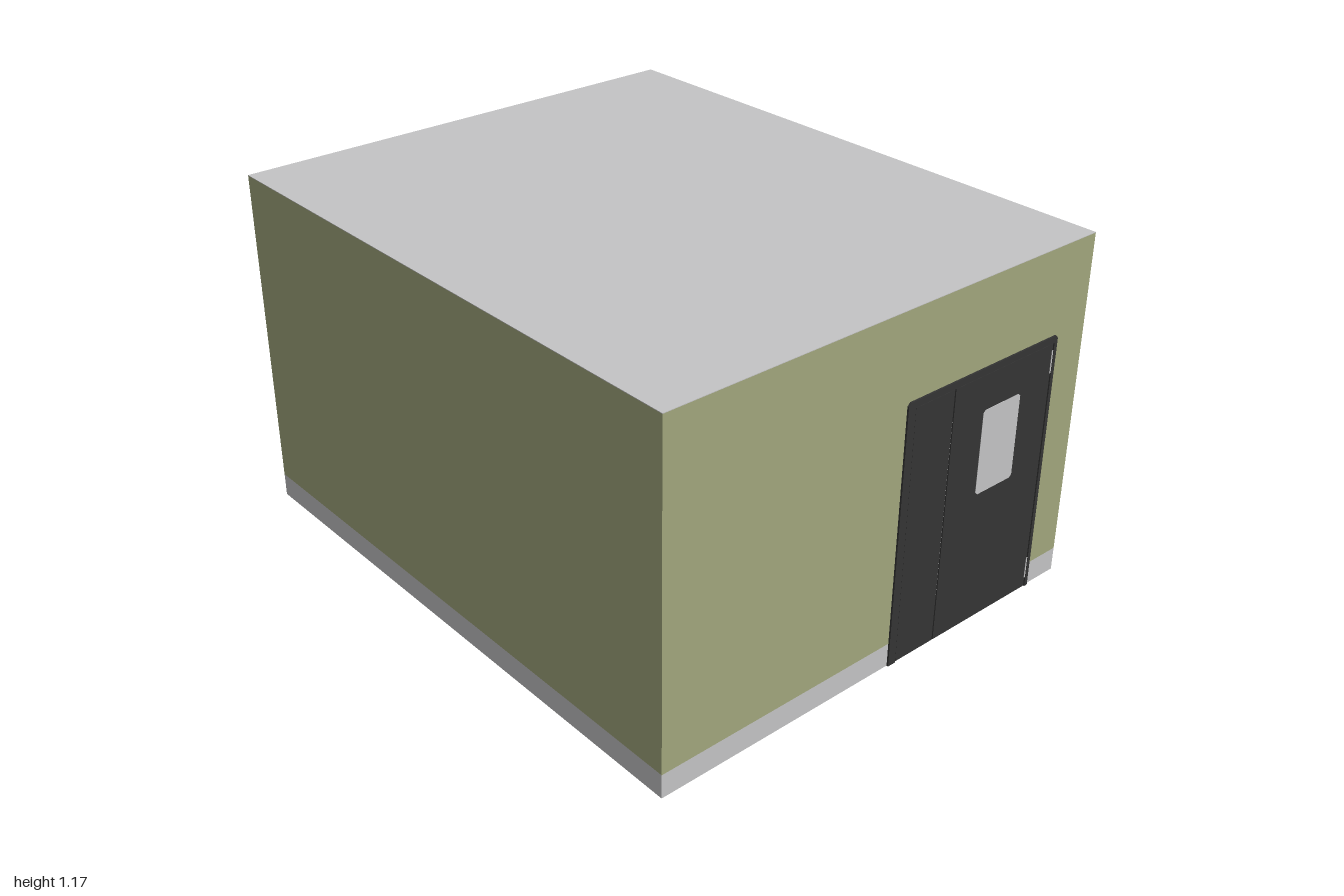
import * as THREE from 'three';

export function createModel() {
  const room = new THREE.Group();
  room.name = 'room';

  const material = (name, color) => {
    const m = new THREE.MeshStandardMaterial({ color });
    m.name = name;
    return m;
  };
  const olive = material('olive wall', 0xa1a67c);
  const grey = material('light grey', 0xc4c4c5);
  const dark = material('dark door', 0x343434);
  const black = material('black gap', 0x222222);

  const add = (name, geometry, mat, parent = room) => {
    const mesh = new THREE.Mesh(geometry, mat);
    mesh.name = name;
    parent.add(mesh);
    return mesh;
  };
  // Box given by its minimum and maximum corners
  const box = (name, mat, [x0, y0, z0], [x1, y1, z1], parent) => {
    const mesh = add(name, new THREE.BoxGeometry(x1 - x0, y1 - y0, z1 - z0), mat, parent);
    mesh.position.set((x0 + x1) / 2, (y0 + y1) / 2, (z0 + z1) / 2);
    return mesh;
  };
  // Flat plate facing the front, between z0 and z1
  const plate = (name, mat, shape, z0, z1, parent) => {
    const geometry = new THREE.ExtrudeGeometry(shape, { depth: z1 - z0, bevelEnabled: false });
    add(name, geometry, mat, parent).position.z = z0;
  };
  const polygon = (points) => new THREE.Shape(points.map(([x, y]) => new THREE.Vector2(x, y)));

  // Room shell: grey skirting and floor, olive walls, grey roof
  const W = 0.825, H = 1.175, SKIRT = 0.08, FRONT = 0.994;
  box('skirtingAndFloor', grey, [-W, 0, -1], [W, SKIRT, FRONT]);
  box('walls', olive, [-W, SKIRT, -1], [W, H - 0.002, FRONT]);
  box('roof', grey, [-W, H - 0.002, -1], [W, H, FRONT]);

  const door = new THREE.Group();
  door.name = 'door';
  room.add(door);

  // Frame with clipped top corners, open at the bottom
  plate('doorFrame', dark, polygon([
    [0.05, 0], [0.08, 0], [0.08, 0.865], [0.682, 0.865], [0.682, 0],
    [0.695, 0], [0.695, 0.877], [0.687, 0.887], [0.06, 0.887], [0.05, 0.877],
  ]), FRONT, 1, door);

  // Black backing seen in the gaps around the leaves
  box('doorGap', black, [0.08, 0, FRONT], [0.682, 0.865, FRONT + 0.001], door);
  box('sidePanel', dark, [0.083, 0.002, FRONT], [0.244, 0.862, 0.998], door);
  box('doorLeaf', dark, [0.249, 0.002, FRONT], [0.679, 0.862, 0.998], door);

  // Grey edges inside the gaps
  box('jambEdge', grey, [0.08, 0.05, FRONT], [0.081, 0.84, 0.999], door);
  box('panelEdge', grey, [0.244, 0.16, FRONT], [0.245, 0.77, 0.9975], door);

  // Window with clipped corners
  const [l, r, b, t, c] = [0.382, 0.546, 0.46, 0.745, 0.009];
  plate('doorWindow', grey, polygon([
    [l + c, b], [r - c, b], [r, b + c], [r, t - c],
    [r - c, t], [l + c, t], [l, t - c], [l, b + c],
  ]), 0.997, 0.999, door);

  // Hinges
  for (const y of [0.035, 0.765]) {
    box('hinge', grey, [0.676, y, 0.997], [0.681, y + 0.075, 0.9995], door);
  }

  return room;
}
